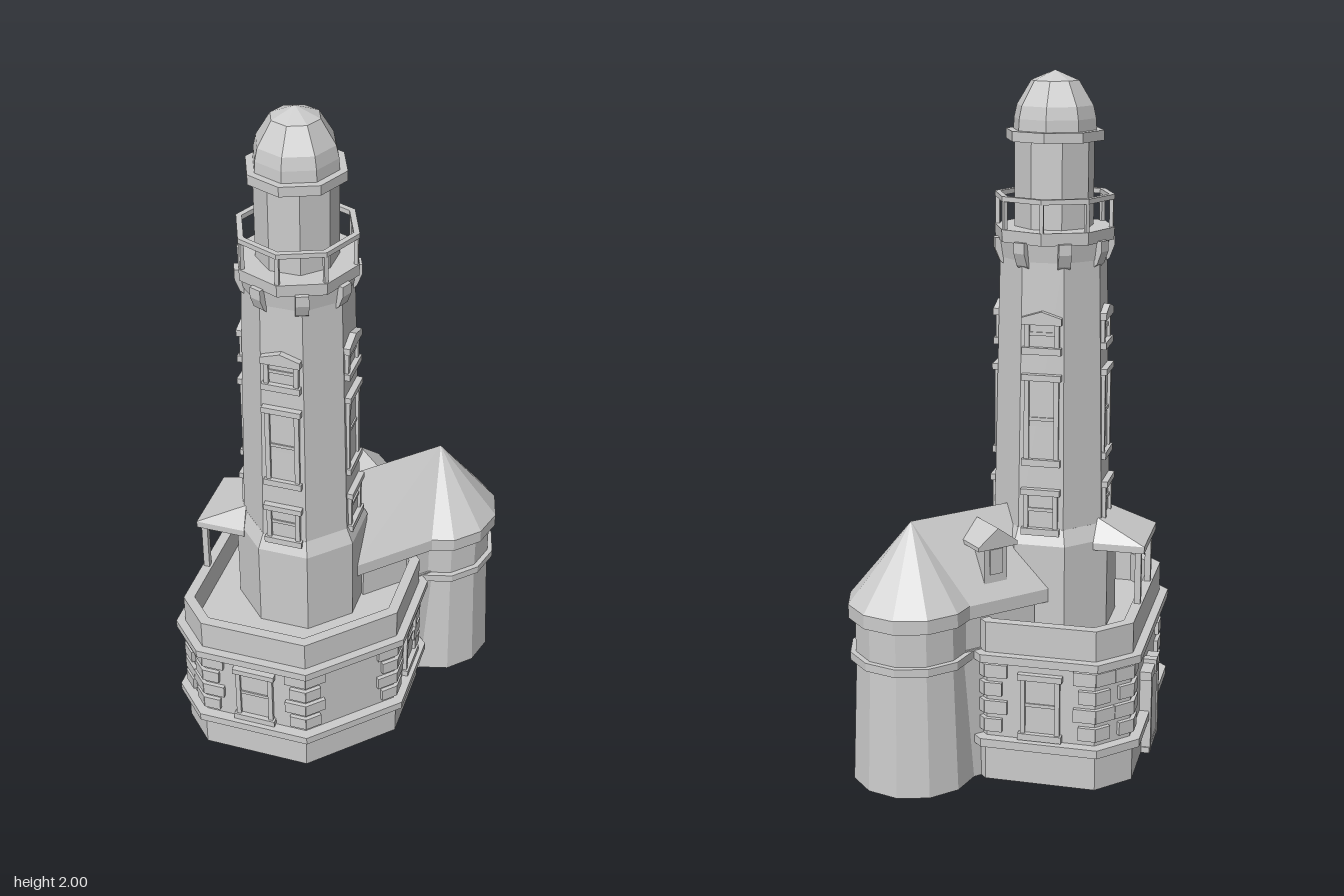
import * as THREE from 'three';
import { ConvexGeometry } from 'three/addons/geometries/ConvexGeometry.js';

const mat = new THREE.MeshStandardMaterial({ color: 0xcccccc, flatShading: true, side: THREE.DoubleSide });
const TX = -0.1, TZ = 0.073; // tower axis
const flat = Math.cos(Math.PI / 8);

function add(parent, name, geo, x = 0, y = 0, z = 0, ry = 0) {
  const m = new THREE.Mesh(geo, mat);
  m.name = name;
  m.position.set(x, y, z);
  m.rotation.y = ry;
  parent.add(m);
  return m;
}

// box given by its bounds
function box(parent, name, x0, x1, y0, y1, z0, z1) {
  return add(parent, name, new THREE.BoxGeometry(x1 - x0, y1 - y0, z1 - z0),
    (x0 + x1) / 2, (y0 + y1) / 2, (z0 + z1) / 2);
}

// prism or frustum between two heights
function drum(parent, name, rBottom, rTop, y0, y1, sides = 8, turn = 0) {
  return add(parent, name, new THREE.CylinderGeometry(rTop, rBottom, y1 - y0, sides), 0, (y0 + y1) / 2, 0, turn);
}

// flat ring with polygonal outline
function ring(parent, name, outer, inner, y0, y1) {
  const pts = [[inner, y0], [outer, y0], [outer, y1], [inner, y1], [inner, y0]].map(p => new THREE.Vector2(...p));
  return add(parent, name, new THREE.LatheGeometry(pts, 8));
}

// chamfered plan of the base, inset by i, as [x, z] corners
function plan(i) {
  const w = -0.415 + i, e = 0.26 - i, n = -0.29 + i, s = 0.443 - i;
  const a = 0.105 - 0.586 * i, b = 0.23 - 0.586 * i;
  return [[w + a, n], [e - b, n], [e, n + b], [e, s - b], [e - b, s], [w + a, s], [w, s - a], [w, n + a]]
    .map(p => new THREE.Vector2(...p));
}

function slab(parent, name, inset, y0, y1, holeInset) {
  const shape = new THREE.Shape(plan(inset));
  if (holeInset) shape.holes.push(new THREE.Path(plan(holeInset)));
  const geo = new THREE.ExtrudeGeometry(shape, { depth: y1 - y0, bevelEnabled: false });
  geo.rotateX(Math.PI / 2);
  return add(parent, name, geo, 0, y1, 0);
}

function extrude(points, depth) {
  return new THREE.ExtrudeGeometry(new THREE.Shape(points.map(p => new THREE.Vector2(...p))),
    { depth, bevelEnabled: false });
}

// framed window facing +z, sill at y = 0
function windowUnit(name, w, h, depth, gable) {
  const g = new THREE.Group();
  g.name = name;
  const t = 0.014;
  for (const s of [-1, 1]) box(g, 'jamb', s * (w / 2 - t / 2) - t / 2, s * (w / 2 - t / 2) + t / 2, 0, h, -0.02, depth);
  box(g, 'sill', -w / 2 - 0.006, w / 2 + 0.006, -0.012, 0.008, -0.02, depth + 0.006);
  box(g, 'pane', -w / 2, w / 2, 0, h, -0.02, depth * 0.25);
  box(g, 'transom', -w / 2, w / 2, h * 0.48, h * 0.48 + 0.01, -0.02, depth * 0.6);
  const l = w / 2 + 0.007;
  if (gable) add(g, 'pediment', extrude([[-l, h - 0.012], [l, h - 0.012], [l, h + 0.008], [0, h + 0.026], [-l, h + 0.008]], depth + 0.026), 0, 0, -0.02);
  else box(g, 'lintel', -l, l, h - 0.012, h + 0.006, -0.02, depth + 0.006);
  return g;
}

function buildBase(root) {
  const g = new THREE.Group();
  g.name = 'base';
  root.add(g);
  slab(g, 'plinth', 0.022, 0, 0.11);
  slab(g, 'lowerTrim', 0, 0.11, 0.135);
  slab(g, 'wall', 0.03, 0.135, 0.375);
  slab(g, 'upperTrim', 0, 0.372, 0.396);
  slab(g, 'parapet', 0.025, 0.396, 0.487, 0.055);

  // corner stones in four courses, on both walls of every corner
  const c = plan(0.03);
  c.forEach((p, i) => {
    for (const q of [c[(i + 1) % 8], c[(i + 7) % 8]]) {
      const d = q.clone().sub(p).normalize();
      for (let k = 0; k < 4; k++) {
        const len = k % 2 ? 0.065 : 0.05;
        add(g, 'quoin', new THREE.BoxGeometry(len, 0.04, 0.024),
          p.x + d.x * (len / 2 - 0.004), 0.172 + k * 0.056, p.y + d.y * (len / 2 - 0.004), Math.atan2(-d.y, d.x));
      }
    }
  });

  // windows on the front, left and back walls
  for (const [x, z, turn] of [[-0.14, 0.413, 0], [0.23, 0.04, Math.PI / 2], [-0.14, -0.26, Math.PI]]) {
    const w = windowUnit('baseWindow', 0.115, 0.185, 0.012, false);
    w.position.set(x, 0.15, z);
    w.rotation.y = turn;
    g.add(w);
  }

  // doorway on the right wall
  const door = new THREE.Group();
  door.name = 'doorway';
  g.add(door);
  box(door, 'door', -0.416, -0.38, 0, 0.24, 0.02, 0.13);
  for (const z of [0.0, 0.13]) box(door, 'doorJamb', -0.42, -0.38, 0, 0.25, z, z + 0.02);
  box(door, 'doorLintel', -0.42, -0.38, 0.235, 0.262, -0.005, 0.155);
  box(door, 'keystone', -0.424, -0.38, 0.23, 0.275, 0.062, 0.088);
  box(door, 'doorStep', -0.418, -0.38, 0, 0.018, -0.005, 0.155);
}

function buildTower(root) {
  const g = new THREE.Group();
  g.name = 'tower';
  g.position.set(TX, 0, TZ);
  root.add(g);
  const t = Math.PI / 8;
  drum(g, 'towerFoot', 0.18 / flat, 0.18 / flat, 0.39, 0.67, 8, t);
  drum(g, 'footSlope', 0.18 / flat, 0.16 / flat, 0.67, 0.715, 8, t);
  drum(g, 'shaft', 0.16 / flat, 0.143 / flat, 0.7, 1.5, 8, t);
  drum(g, 'corbelRing', 0.145 / flat, 0.152 / flat, 1.485, 1.54, 8, t);

  // stacked windows on the four main faces
  for (let i = 0; i < 4; i++) {
    const a = i * Math.PI / 2;
    for (const [y, h, gable] of [[0.71, 0.12, false], [0.915, 0.25, false], [1.24, 0.085, true]]) {
      const w = windowUnit('towerWindow', 0.1, h, 0.012, gable);
      const r = 0.16 - (y + h - 0.7) * 0.021;
      w.position.set(Math.sin(a) * r, y, Math.cos(a) * r);
      w.rotation.y = a;
      g.add(w);
    }
  }

  // brackets, gallery and railing
  const bracket = extrude([[0.135, 1.455], [0.158, 1.475], [0.172, 1.51], [0.172, 1.54], [0.135, 1.54]], 0.036).translate(0, 0, -0.018);
  for (let i = 0; i < 8; i++) {
    add(g, 'bracket', bracket, 0, 0, 0, i * Math.PI / 4 + t);
    const a = i * Math.PI / 4;
    add(g, 'railPost', new THREE.BoxGeometry(0.011, 0.09, 0.011), Math.cos(a) * 0.164, 1.608, Math.sin(a) * 0.164, -a);
  }
  drum(g, 'galleryDeck', 0.172, 0.174, 1.535, 1.57);
  ring(g, 'handrail', 0.173, 0.156, 1.648, 1.662);

  // lantern room, eave and dome
  drum(g, 'lanternRoom', 0.105 / flat, 0.105 / flat, 1.565, 1.82, 8, t);
  drum(g, 'lanternEave', 0.14, 0.14, 1.81, 1.838);
  const dome = [[0.119, 1.836], [0.117, 1.87], [0.109, 1.905], [0.068, 1.972], [0, 2]].map(p => new THREE.Vector2(...p));
  add(g, 'dome', new THREE.LatheGeometry(dome, 8));
}

// diagonal wing, with local x running along its ridge
function buildWing(root) {
  const g = new THREE.Group();
  g.name = 'wing';
  g.rotation.y = Math.PI / 4;
  root.add(g);
  const zc = -0.021, xEnd = 0.354;
  box(g, 'wingWall', 0.02, xEnd, 0.39, 0.505, zc - 0.125, zc + 0.125);
  box(g, 'wingLink', 0.15, xEnd, 0, 0.4, zc - 0.13, zc + 0.13);
  const roof = extrude([[-0.145, 0.5], [0.145, 0.5], [0.145, 0.54], [0, 0.77], [-0.145, 0.54]], xEnd + 0.021);
  roof.rotateY(Math.PI / 2);
  roof.scale(1, 1, 1);
  add(g, 'wingRoof', roof, -0.021, 0, zc);

  // gabled dormer on the rear slope
  box(g, 'dormerBody', 0.108, 0.182, 0.56, 0.705, -0.138, -0.05);
  box(g, 'dormerPanel', 0.125, 0.165, 0.61, 0.685, -0.143, -0.1);
  add(g, 'dormerRoof', extrude([[-0.064, 0.69], [0.064, 0.69], [0.064, 0.702], [0, 0.75], [-0.064, 0.702]], 0.125), 0.145, 0, -0.152);
}

function buildTurret(root) {
  const g = new THREE.Group();
  g.name = 'turret';
  g.position.set(0.235, 0, -0.265);
  root.add(g);
  drum(g, 'turretWall', 0.181, 0.165, 0, 0.375, 12);
  drum(g, 'turretBand', 0.182, 0.182, 0.372, 0.396, 12);
  drum(g, 'turretNeck', 0.166, 0.166, 0.39, 0.51, 12);
  drum(g, 'turretEave', 0.185, 0.185, 0.5, 0.541, 12);
  add(g, 'turretRoof', new THREE.ConeGeometry(0.185, 0.229, 12), 0, 0.6555, 0);
}

// hipped porch on the right side of the tower
function buildPorch(root) {
  const g = new THREE.Group();
  g.name = 'porch';
  root.add(g);
  box(g, 'porchEave', -0.395, -0.245, 0.645, 0.666, -0.04, 0.186);
  const hip = [[-0.395, 0.666, -0.04], [-0.395, 0.666, 0.186], [-0.245, 0.666, -0.04], [-0.245, 0.666, 0.186],
    [-0.25, 0.732, 0.0], [-0.25, 0.732, 0.146]].map(p => new THREE.Vector3(...p));
  add(g, 'porchRoof', new ConvexGeometry(hip));
  for (const z of [-0.03, 0.157]) box(g, 'porchPost', -0.385, -0.367, 0.39, 0.648, z, z + 0.018);
}

export function createModel() {
  const root = new THREE.Group();
  root.name = 'lighthouse';
  [buildBase, buildTower, buildWing, buildTurret, buildPorch].forEach(build => build(root));
  return root;
}
